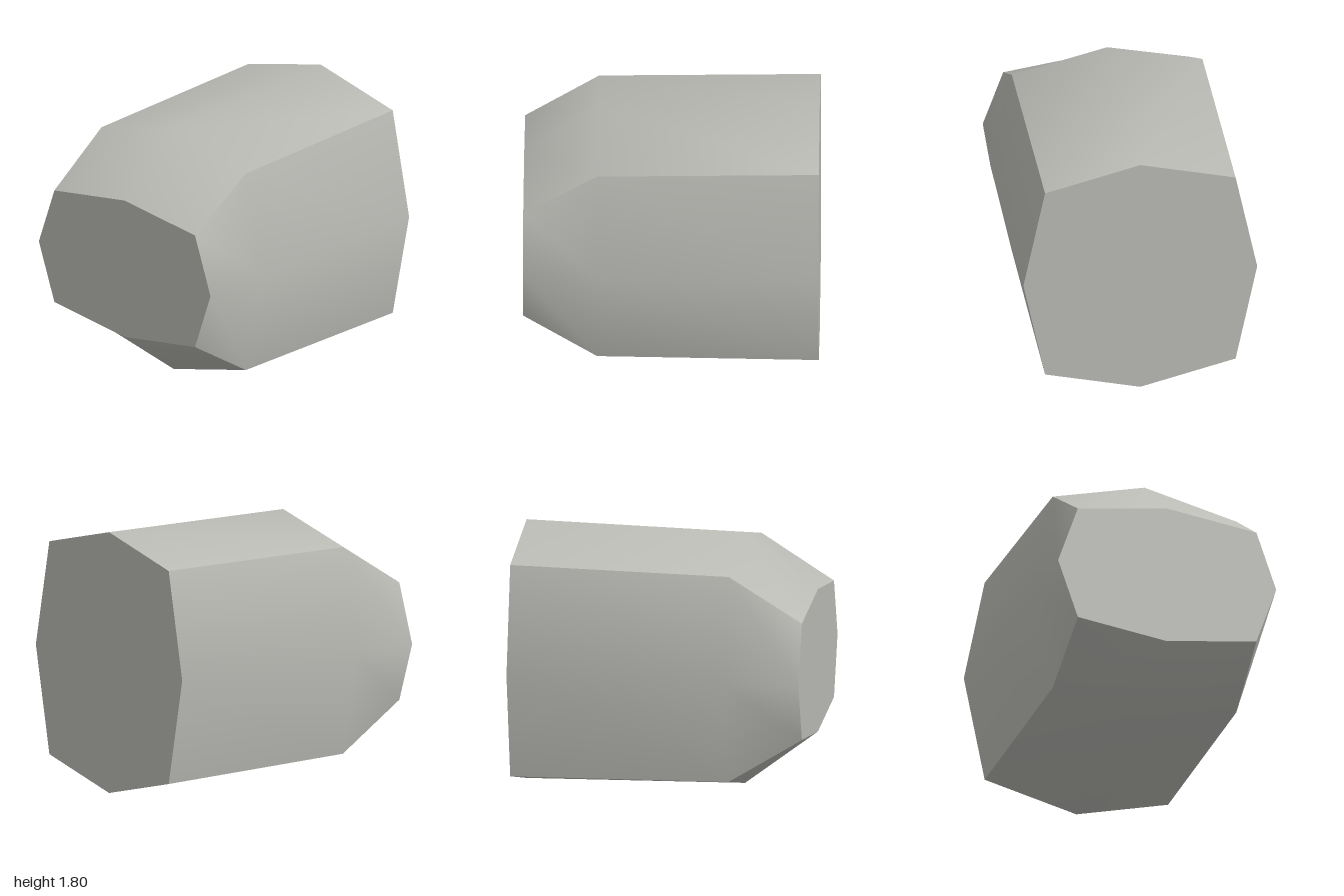
import * as THREE from 'three';
import { toCreasedNormals } from 'three/addons/utils/BufferGeometryUtils.js';

// Cross-sections along x: ridge height, shoulder height and depth, and side depth,
// all measured from the central axis
const AXIS_Y = 0.9;
const SECTIONS = [
  { x: -1.0, ridge: 0.495, shoulderY: 0.405, shoulderZ: 0.635, side: 0.775 },
  { x: -0.5, ridge: 0.873, shoulderY: 0.713, shoulderZ: 0.652, side: 0.8 },
  { x: 1.0, ridge: 0.9, shoulderY: 0.735, shoulderZ: 0.652, side: 0.8 },
];

// Eight corners, running from the top over the front to the bottom and back
function ring({ x, ridge, shoulderY, shoulderZ, side }) {
  return [
    [0, ridge], [shoulderZ, shoulderY], [side, 0], [shoulderZ, -shoulderY],
    [0, -ridge], [-shoulderZ, -shoulderY], [-side, 0], [-shoulderZ, shoulderY],
  ].map(([z, y]) => [x, AXIS_Y + y, z]);
}

function buildGeometry(points, indices, crease) {
  const geometry = new THREE.BufferGeometry();
  geometry.setAttribute('position', new THREE.Float32BufferAttribute(points.flat(), 3));
  geometry.setIndex(indices);
  return toCreasedNormals(geometry, crease);
}

// Faceted wall through all sections, smooth except at the four shoulder edges
function wallGeometry(rings) {
  const indices = [];
  const n = 8;
  for (let k = 0; k < rings.length - 1; k++) {
    for (let i = 0; i < n; i++) {
      const a = k * n + i;
      const b = k * n + (i + 1) % n;
      indices.push(a, b, b + n, a, b + n, a + n);
    }
  }
  return buildGeometry(rings.flat(), indices, Math.PI / 4);
}

// Flat octagonal end
function capGeometry(points, facing) {
  const indices = [];
  for (let i = 1; i < points.length - 1; i++) {
    indices.push(0, ...(facing > 0 ? [i, i + 1] : [i + 1, i]));
  }
  return buildGeometry(points, indices, 0.1);
}

export function createModel() {
  const group = new THREE.Group();
  group.name = 'taperedHull';
  const grey = new THREE.MeshStandardMaterial({ color: 0xbbbbb6 });
  grey.name = 'warmGrey';

  const rings = SECTIONS.map(ring);
  const parts = {
    hullWall: wallGeometry(rings),
    taperedEnd: capGeometry(rings[0], -1),
    wideEnd: capGeometry(rings[rings.length - 1], 1),
  };
  for (const [name, geometry] of Object.entries(parts)) {
    const mesh = new THREE.Mesh(geometry, grey);
    mesh.name = name;
    group.add(mesh);
  }
  return group;
}
